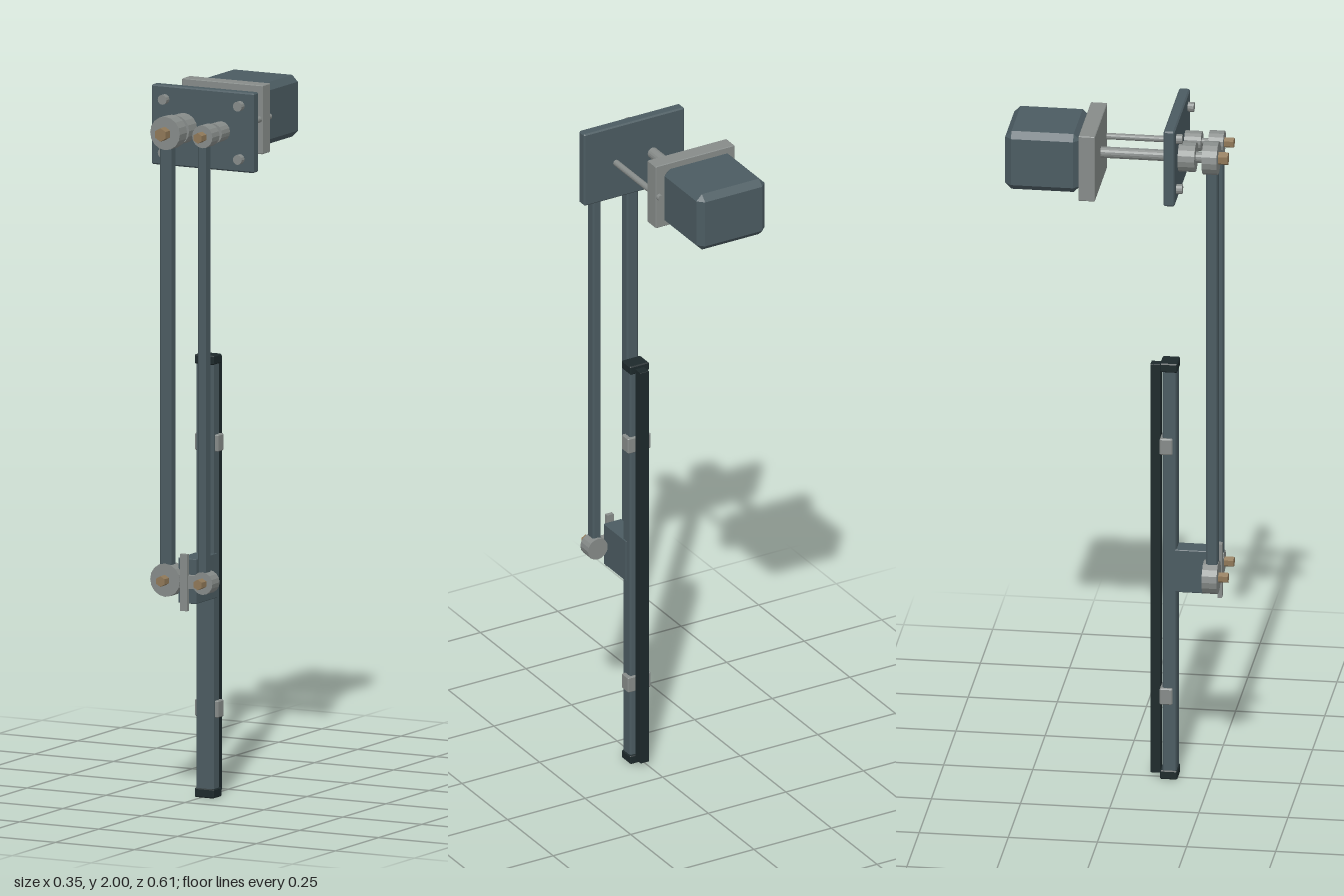
import * as THREE from 'three';
import { ConvexGeometry } from 'three/addons/geometries/ConvexGeometry.js';

const mat = (name, color, flat = true) => {
  const m = new THREE.MeshStandardMaterial({ color, flatShading: flat });
  m.name = name;
  return m;
};

export function createModel() {
  const slate = mat('slate', 0x4b5b61);
  const steel = mat('steel', 0x868b89);
  const black = mat('black', 0x1d292b);
  const brass = mat('brass', 0x8f7858);
  const model = new THREE.Group();
  model.name = 'wiperMechanism';

  const add = (name, geo, material) => {
    const m = new THREE.Mesh(geo, material);
    m.name = name;
    model.add(m);
    return m;
  };

  // box between two corners with all edges chamfered by c
  const block = (name, material, [x0, x1], [y0, y1], [z0, z1], c = 0) => {
    const size = [x1 - x0, y1 - y0, z1 - z0];
    let geo;
    if (c > 0) {
      const pts = [];
      for (const sx of [-1, 1]) for (const sy of [-1, 1]) for (const sz of [-1, 1])
        for (let full = 0; full < 3; full++) {
          const p = [sx, sy, sz].map((s, i) => s * (size[i] / 2 - (i === full ? 0 : c)));
          pts.push(new THREE.Vector3(...p));
        }
      geo = new ConvexGeometry(pts);
    } else geo = new THREE.BoxGeometry(...size);
    add(name, geo, material).position.set((x0 + x1) / 2, (y0 + y1) / 2, (z0 + z1) / 2);
  };

  // cylinder along z
  const rod = (name, material, x, y, r, z0, z1, sides = 16) => {
    const geo = new THREE.CylinderGeometry(r, r, z1 - z0, sides).rotateX(Math.PI / 2);
    add(name, geo, material).position.set(x, y, (z0 + z1) / 2);
  };

  const top = 1.886, low = 0.627;

  // motor and its mounting plate
  block('motor', slate, [-0.158, 0.062], [1.8, 1.974], [-0.308, -0.098], 0.018);
  block('motorPlate', steel, [-0.175, 0.08], [1.788, 1.982], [-0.098, -0.052], 0.002);

  // bulkhead plate with four screws
  block('bulkheadPlate', slate, [-0.152, 0.172], [1.775, 2], [0.137, 0.168], 0.004);
  for (const x of [-0.108, 0.13]) for (const y of [1.812, 1.962])
    rod('screw', steel, x, y, 0.014, 0.168, 0.185, 12);

  // drive side and idler side: shaft, bushing, hubs, nuts and arm
  const sides = [
    { name: 'drive', x: -0.048, shaft: 0.016, back: -0.06, bush: 0.042, hub: 0.047, nut: 0.019, arm: 0.018 },
    { name: 'idler', x: 0.07, shaft: 0.009, back: -0.11, bush: 0.028, hub: 0.032, nut: 0.015, arm: 0.0125 },
  ];
  for (const s of sides) {
    rod(s.name + 'Shaft', steel, s.x, top, s.shaft, s.back, 0.24);
    rod(s.name + 'Bushing', steel, s.x, top, s.bush, 0.168, 0.215);
    for (const y of [top, low]) {
      rod(s.name + 'Hub', steel, s.x, y, s.hub, 0.236, 0.278);
      rod(s.name + 'Nut', brass, s.x, y, y === top ? s.nut : 0.015, 0.278, 0.305, 6);
    }
    const ax = s.x - (s.name === 'idler' ? 0.003 : 0);
    block(s.name + 'Arm', slate, [ax - s.arm, ax + s.arm], [low, top], [0.245, 0.277], 0.004);
  }

  // lower link and blade carrier
  block('linkBar', steel, [-0.048, 0.07], [0.608, 0.645], [0.255, 0.274]);
  block('linkPlate', steel, [0, 0.022], [0.545, 0.705], [0.268, 0.28]);
  block('bladeCarrier', slate, [-0.018, 0.039], [0.563, 0.69], [0.135, 0.258], 0.002);

  // blade holder with end caps, clips and rubber
  block('bladeRail', slate, [-0.018, 0.037], [0.02, 1.228], [0.116, 0.155], 0.004);
  for (const y of [0, 1.222])
    block('railCap', black, [-0.021, 0.04], [y, y + 0.026], [0.109, 0.158], 0.003);
  for (const y of [0.25, 1])
    block('clip', steel, [-0.027, 0.047], [y - 0.024, y + 0.024], [0.109, 0.145], 0.003);
  block('rubberBlade', black, [-0.004, 0.024], [0.012, 1.238], [0.08, 0.109], 0.001);

  return model;
}
